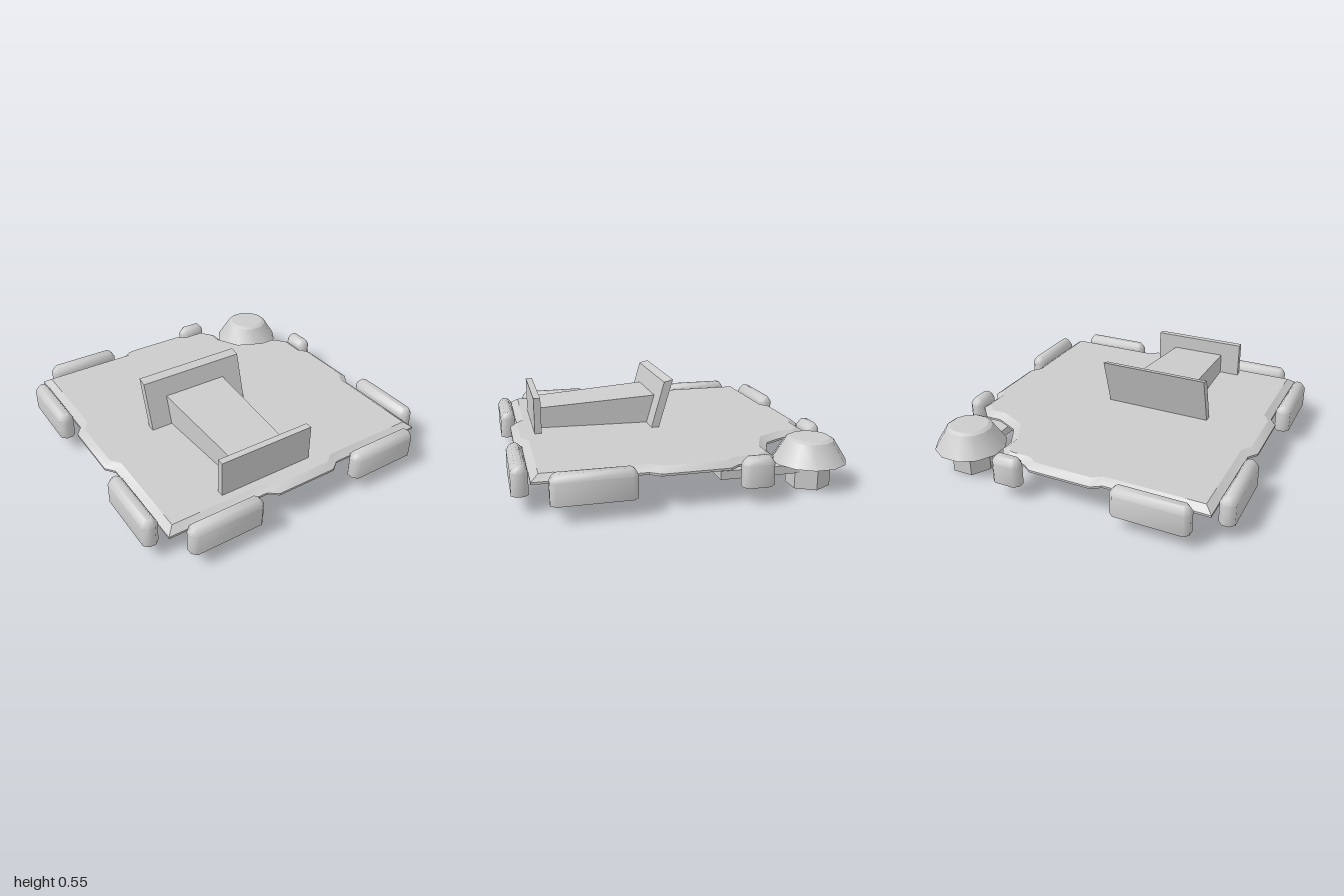
import * as THREE from 'three';
import { toCreasedNormals } from 'three/addons/utils/BufferGeometryUtils.js';

const material = new THREE.MeshStandardMaterial({ color: 0xcccccc, side: THREE.DoubleSide });

// Skin between stacked rings of [x, y, z] (counter-clockwise from above), open below, capped on top
function loft(rings, crease = 0.5) {
  const n = rings[0].length, index = [];
  for (let r = 0; r < rings.length - 1; r++) {
    for (let i = 0; i < n; i++) {
      const a = r * n + i, b = r * n + (i + 1) % n;
      index.push(a, b, b + n, a, b + n, a + n);
    }
  }
  const top = rings[rings.length - 1], base = n * (rings.length - 1);
  const outline = top.map(([x, , z]) => new THREE.Vector2(x, -z));
  for (const f of THREE.ShapeUtils.triangulateShape(outline, [])) index.push(...f.map(i => i + base));
  const g = new THREE.BufferGeometry();
  g.setAttribute('position', new THREE.Float32BufferAttribute(rings.flat(2), 3));
  g.setIndex(index);
  return toCreasedNormals(g, crease);
}

// Offset an [x, z] outline inward by d with mitred corners
function inset(points, d) {
  const n = points.length;
  return points.map((p, i) => {
    const a = points[(i + n - 1) % n], b = points[(i + 1) % n];
    const edge = (s, e) => new THREE.Vector2(e[1] - s[1], s[0] - e[0]).normalize();
    const n1 = edge(a, p), n2 = edge(p, b), k = d / (1 + n1.dot(n2));
    return [p[0] + (n1.x + n2.x) * k, p[1] + (n1.y + n2.y) * k];
  });
}
const ring = (points, y) => points.map(([x, z]) => [x, y, z]);
const rect = (x0, x1, z0, z1) => [[x0, z1], [x1, z1], [x1, z0], [x0, z0]];

export function createModel() {
  const model = new THREE.Group();
  const add = (name, geometry) => {
    const mesh = new THREE.Mesh(geometry, material);
    mesh.name = name;
    model.add(mesh);
    return mesh;
  };

  // Bevelled platform with a tab on each side and a notch in the back left corner
  const outline = [
    [-0.9, 0.9], [-0.26, 0.9], [-0.2, 0.945], [0.2, 0.945], [0.26, 0.9], [0.9, 0.9],
    [0.9, 0.26], [0.945, 0.2], [0.945, -0.2], [0.9, -0.26], [0.9, -0.41],
    [0.81, -0.51], [0.7, -0.51], [0.55, -0.58], [0.475, -0.72], [0.475, -0.81], [0.4, -0.905],
    [0.26, -0.905], [0.2, -0.945], [-0.2, -0.945], [-0.26, -0.905], [-0.9, -0.905],
    [-0.9, -0.26], [-0.945, -0.2], [-0.945, 0.2], [-0.9, 0.26],
  ];
  const deck = 0.242;
  add('platform', loft([ring(outline, 0.197), ring(outline, 0.21), ring(inset(outline, 0.045), deck)]));

  // Hollow bumpers with rounded top edges
  const t = 0.048, c = 0.028;
  const bumper = (name, x, z, length, alongZ) => {
    const h = length / 2;
    const plan = [[-h + c, t], [h - c, t], [h, t - c], [h, -t + c], [h - c, -t], [-h + c, -t], [-h, -t + c], [-h, t - c]];
    const geometry = loft([
      ring(plan, 0.098), ring(plan, 0.23), ring(inset(plan, 0.012), 0.252), ring(inset(plan, 0.027), 0.27),
    ], 0.9);
    const mesh = add(name, geometry);
    mesh.position.set(x, 0, z);
    if (alongZ) mesh.rotation.y = Math.PI / 2;
  };
  for (const s of [-1, 1]) {
    bumper('frontBumper', s * 0.572, 0.952, 0.475);
    bumper('sideBumper', s * 0.952, 0.572, 0.475, true);
  }
  bumper('backBumper', -0.572, -0.952, 0.475);
  bumper('rightBackBumper', -0.952, -0.578, 0.475, true);
  bumper('shortBackBumper', 0.345, -0.952, 0.185);
  bumper('shortSideBumper', 0.952, -0.355, 0.185, true);

  // Tapered bench between a leaning backboard and an upright front board
  add('bench', loft([
    [[-0.373, deck, 0.77], [-0.015, deck, 0.77], [0.02, deck, 0.03], [-0.405, deck, 0.03]],
    [[-0.373, 0.375, 0.77], [-0.015, 0.375, 0.77], [0.02, 0.425, -0.005], [-0.405, 0.425, -0.005]],
  ]));
  add('frontBoard', loft([ring(rect(-0.505, 0.115, 0.765, 0.808), deck), ring(rect(-0.505, 0.115, 0.765, 0.808), 0.47)]));
  add('backboard', loft([
    ring(rect(-0.54, 0.155, 0.01, 0.06), deck),
    [[-0.54, 0.538, -0.025], [0.155, 0.538, -0.025], [0.155, 0.553, -0.083], [-0.54, 0.553, -0.083]],
  ]));

  // Corner post with a flared cap, carried on an arm under the platform
  const arm = rect(0.67, 0.83, -0.7, -0.18);
  add('postArm', loft([ring(arm, 0.1), ring(arm, 0.152)]));

  const post = add('post', toCreasedNormals(
    new THREE.CylinderGeometry(0.132, 0.132, 0.2, 6, 1, true, Math.PI / 6), 0.5));
  post.position.set(0.75, 0.1, -0.763);

  const profile = [[0.225, 0.153], [0.143, 0.283], [0.12, 0.296], [0, 0.298]].map(p => new THREE.Vector2(...p));
  const cap = add('postCap', toCreasedNormals(new THREE.LatheGeometry(profile, 12, Math.PI / 12), 0.45));
  cap.position.set(0.75, 0, -0.763);

  return model;
}
